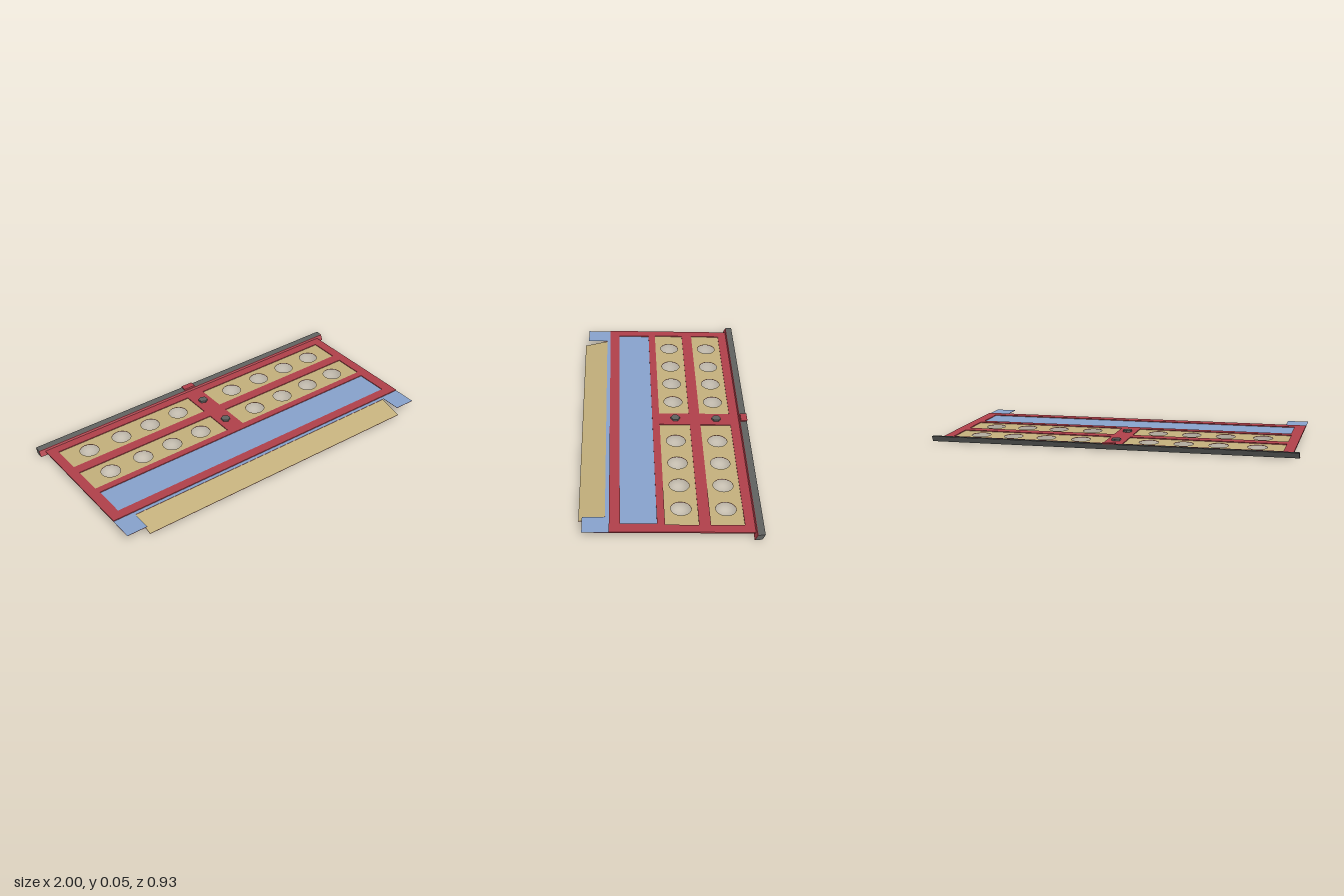
import * as THREE from 'three';

const mat = (color, side = THREE.FrontSide) =>
  new THREE.MeshStandardMaterial({ color, side, flatShading: true });

export function createModel() {
  const red = mat(0xb0404a), tan = mat(0xc4b07c), blue = mat(0x87a2cc), grey = mat(0x606260);
  const model = new THREE.Group();
  model.name = 'panelTray';

  const add = (parent, name, geometry, material, x = 0, y = 0, z = 0) => {
    const mesh = new THREE.Mesh(geometry, material);
    mesh.name = name;
    mesh.position.set(x, y, z);
    parent.add(mesh);
    return mesh;
  };

  // Outlines are drawn with shape y = -z, then laid flat
  const outline = (pts, Kind = THREE.Shape) =>
    new Kind(pts.map(([x, z]) => new THREE.Vector2(x, -z)));
  const rect = (x0, x1, z0, z1, Kind) =>
    outline([[x0, z1], [x1, z1], [x1, z0], [x0, z0]], Kind);
  const slab = (shape, depth) =>
    new THREE.ExtrudeGeometry(shape, { depth, bevelEnabled: false, curveSegments: 12 }).rotateX(-Math.PI / 2);
  const sheet = (shape) => new THREE.ShapeGeometry(shape, 12).rotateX(-Math.PI / 2);

  // Round openings: four per side in each of two rows
  const rows = [
    { z: -0.285, z0: -0.37, z1: -0.2 },
    { z: -0.055, z0: -0.14, z1: 0.03 },
  ];
  const holeXs = { left: [0.2, 0.4, 0.59, 0.78], right: [-0.18, -0.37, -0.56, -0.765] };
  const spans = { left: [0.052, 0.91], right: [-0.91, -0.055] };
  const punch = (shape, xs, z) => xs.forEach((x) => {
    const hole = new THREE.Path();
    hole.absarc(x, -z, 0.053, 0, Math.PI * 2, true);
    shape.holes.push(hole);
  });

  // Tilted tray, rising toward the front
  const tray = new THREE.Group();
  tray.name = 'tray';
  tray.position.y = 0.0285;
  tray.rotation.x = -0.0375;
  model.add(tray);

  // Thin backing sheet with two front corner tabs
  const base = outline([
    [-0.965, -0.42], [-0.965, 0.445], [-0.848, 0.445], [-0.848, 0.33],
    [0.848, 0.33], [0.848, 0.445], [0.965, 0.445], [0.965, -0.42],
  ]);
  rows.forEach((r) => Object.values(holeXs).forEach((xs) => punch(base, xs, r.z)));
  add(tray, 'backingSheet', slab(base, 0.0015), red);

  // Blue facing on the front lip and its corner tabs
  add(tray, 'frontLip', sheet(outline([
    [-0.965, 0.31], [-0.965, 0.445], [-0.848, 0.445], [-0.848, 0.33],
    [0.848, 0.33], [0.848, 0.445], [0.965, 0.445], [0.965, 0.31],
  ])), blue, 0, 0.0021);

  // Raised frame with five windows
  const frame = rect(-0.965, 0.965, -0.42, 0.31);
  rows.forEach((r) => Object.values(spans).forEach(([a, b]) =>
    frame.holes.push(rect(a, b, r.z0, r.z1, THREE.Path))));
  frame.holes.push(rect(-0.905, 0.903, 0.07, 0.255, THREE.Path));
  add(tray, 'frame', slab(frame, 0.0055), red, 0, 0.0015);

  // Recessed perforated panels
  rows.forEach((r, i) => Object.keys(spans).forEach((side) => {
    const [a, b] = spans[side];
    const panel = rect(a, b, r.z0, r.z1);
    punch(panel, holeXs[side], r.z);
    add(tray, `${side}Panel${i + 1}`, sheet(panel), tan, 0, 0.0025);
  }));
  add(tray, 'bluePanel', sheet(rect(-0.905, 0.903, 0.07, 0.255)), blue, 0, 0.0025);

  // Small faceted knobs along the centre rib
  [[0, -0.292], [-0.004, -0.06]].forEach(([x, z], i) =>
    add(tray, `knob${i + 1}`, new THREE.CylinderGeometry(0.026, 0.026, 0.012, 6), grey, x, 0.012, z));

  // Front flap, hinged downward, red with a tan upper face
  const flap = new THREE.Group();
  flap.name = 'frontFlap';
  flap.position.set(-0.002, 0.039, 0.328);
  flap.rotation.x = 0.203;
  model.add(flap);
  add(flap, 'flapBody', new THREE.BoxGeometry(1.688, 0.0025, 0.138), red, 0, 0, 0.07);
  add(flap, 'flapFace', sheet(rect(-0.844, 0.844, 0.001, 0.139)), tan, 0, 0.0018);

  // Slanted bars running across x, from a [z, y] section
  const bar = (name, section, width, material) => {
    const shape = new THREE.Shape(section.map(([z, y]) => new THREE.Vector2(-z, y)));
    const geometry = new THREE.ExtrudeGeometry(shape, { depth: width, bevelEnabled: false });
    geometry.translate(0, 0, -width / 2).rotateY(Math.PI / 2);
    return add(model, name, geometry, material);
  };
  bar('rearBar', [[-0.413, 0], [-0.448, 0.003], [-0.463, 0.033], [-0.428, 0.031]], 2, grey);
  bar('rearBarFace', [[-0.41, 0], [-0.413, 0], [-0.428, 0.031], [-0.425, 0.03]], 2, red);
  bar('latchTab', [[-0.428, 0.031], [-0.463, 0.032], [-0.467, 0.038], [-0.431, 0.038]], 0.07, red);

  return model;
}
